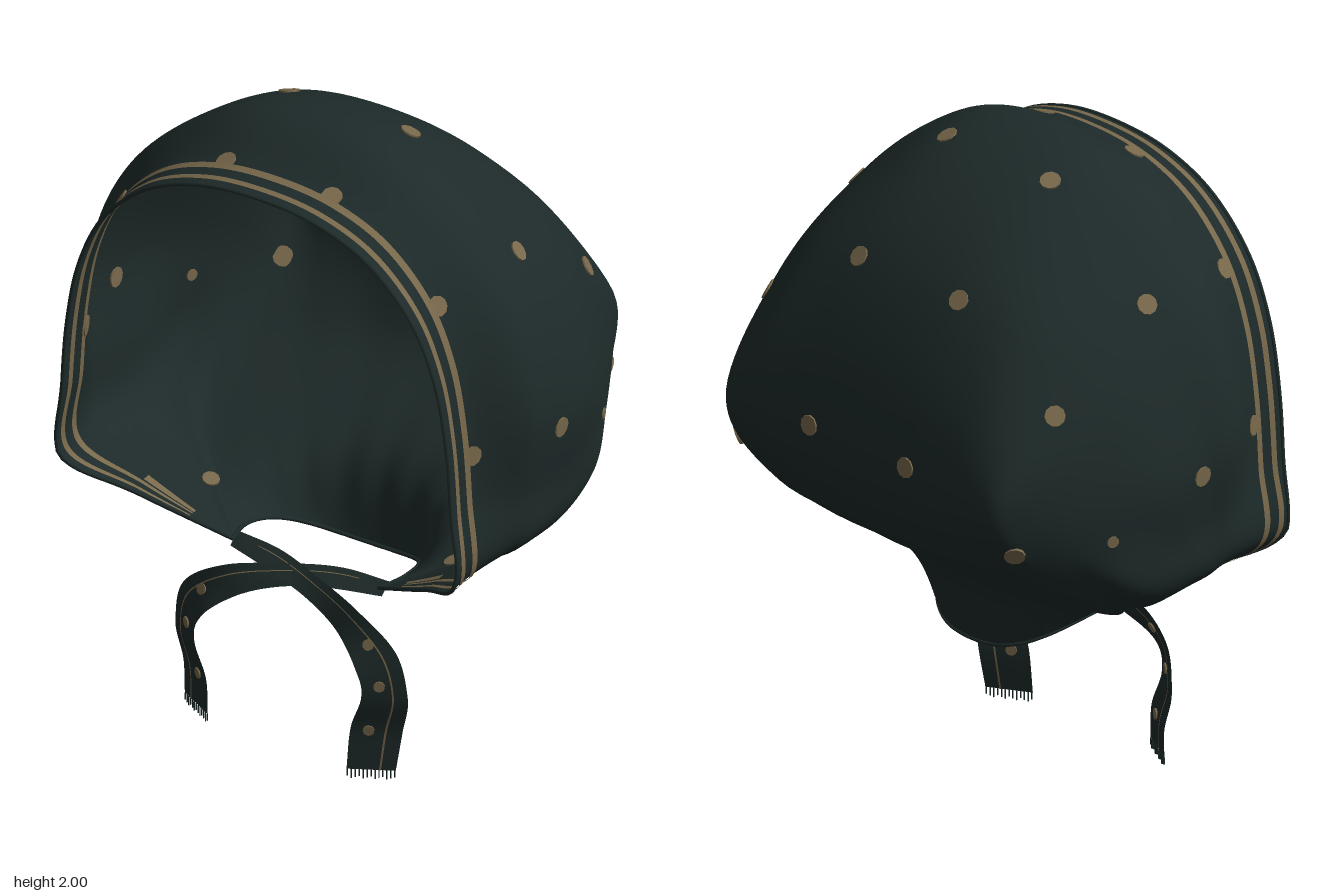
import * as THREE from 'three';

const V = (x, y, z) => new THREE.Vector3(x, y, z);
const cloth = new THREE.MeshStandardMaterial({ name: 'dark green cloth', color: 0x1d2a29, side: THREE.DoubleSide });
const gold = new THREE.MeshStandardMaterial({ name: 'dull gold print', color: 0x78684b, side: THREE.DoubleSide });

// Half outlines between crown and chin: x and the fraction of the way up
const FACE = [0.2, 0.985, 0.38, 0.93, 0.53, 0.82, 0.61, 0.69, 0.65, 0.54, 0.668, 0.37, 0.678, 0.2, 0.5, 0.105];
const CROWN = [0.23, 0.98, 0.425, 0.905, 0.6, 0.793, 0.71, 0.658, 0.765, 0.49, 0.735, 0.32, 0.708, 0.195, 0.5, 0.1];
const UPPER = [0.25, 0.985, 0.44, 0.94, 0.6, 0.83, 0.7, 0.69, 0.755, 0.55, 0.735, 0.37, 0.705, 0.23, 0.46, 0.1];
const BACK = [0.27, 1, 0.46, 1, 0.54, 0.985, 0.595, 0.86, 0.655, 0.7, 0.71, 0.52, 0.66, 0.33, 0.42, 0.12];
const LOWER = [0.2, 0.99, 0.38, 0.95, 0.5, 0.86, 0.57, 0.72, 0.6, 0.55, 0.56, 0.4, 0.46, 0.26, 0.34, 0.12];
const NAPE = [0.1, 0.98, 0.2, 0.9, 0.27, 0.78, 0.32, 0.62, 0.35, 0.46, 0.35, 0.32, 0.33, 0.2, 0.29, 0.1];
const NECK = [0.1, 0.97, 0.17, 0.88, 0.22, 0.74, 0.25, 0.58, 0.265, 0.42, 0.27, 0.28, 0.265, 0.16, 0.258, 0.07];

// Hood arcs from face edge to nape; upright keeps the face edge vertical, droop dips the neck edge
const CHIN = V(0.25, 0.56, 0.27);
const arcs = [
  arcCurve(0.525, 1.895, FACE, { upright: true }),
  arcCurve(0.42, 1.915, FACE, { upright: true }),
  arcCurve(0.22, 2.0, CROWN),
  arcCurve(-0.05, 1.93, CROWN),
  arcCurve(-0.34, 1.68, UPPER),
  arcCurve(-0.53, 1.2, BACK),
  arcCurve(-0.45, 0.945, LOWER),
  arcCurve(-0.15, 0.695, NAPE),
  arcCurve(-0.07, 0.46, NECK, { droop: 2.5 }),
];

function arcCurve(z, y, half, { upright = false, droop = 1 } = {}) {
  const at = (x, s) => V(x, CHIN.y + (y - CHIN.y) * s ** droop, CHIN.z + (z - CHIN.z) * (upright ? Math.min(1, s / 0.2) : s));
  const pts = [at(0, 1)];
  for (let i = 0; i < half.length; i += 2) pts.push(at(half[i], half[i + 1]));
  pts.push(CHIN.clone());
  const right = pts.slice(1).map((p) => V(-p.x, p.y, p.z));
  return new THREE.CatmullRomCurve3([...pts.reverse(), ...right]);
}

// Hood surface: u runs over the head from chin to chin, v from face edge to nape
const columns = new Map();
function hoodPoint(u, v) {
  if (!columns.has(u)) columns.set(u, new THREE.CatmullRomCurve3(arcs.map((a) => a.getPoint(u))));
  const p = columns.get(u).getPoint(v);
  const gather = THREE.MathUtils.smoothstep(v, 0.62, 0.85) * (1 - THREE.MathUtils.smoothstep(v, 0.9, 1));
  const k = 1 + 0.012 * gather * Math.cos(u * Math.PI * 28);
  p.y = CHIN.y + (p.y - CHIN.y) * k;
  p.z = Math.min(0.525, CHIN.z + (p.z - CHIN.z) * k);
  return p;
}

function normalAt(fn, u, v) {
  const e = 0.003;
  const du = fn(Math.min(1, u + e), v).sub(fn(Math.max(0, u - e), v));
  const dv = fn(u, Math.min(1, v + e)).sub(fn(u, Math.max(0, v - e)));
  return dv.cross(du).normalize();
}

// Grid over part of a surface, lifted off it along the normal
function patch(fn, [u0, u1], [v0, v1], nu, nv, lift = 0) {
  const pos = [], idx = [];
  for (let i = 0; i <= nu; i++) {
    for (let j = 0; j <= nv; j++) {
      const u = u0 + ((u1 - u0) * i) / nu, v = v0 + ((v1 - v0) * j) / nv;
      const p = fn(u, v);
      if (lift) p.addScaledVector(normalAt(fn, u, v), lift);
      pos.push(p.x, p.y, p.z);
      if (i < nu && j < nv) {
        const a = i * (nv + 1) + j, b = a + nv + 1;
        idx.push(a, a + 1, b, b, a + 1, b + 1);
      }
    }
  }
  const g = new THREE.BufferGeometry();
  g.setAttribute('position', new THREE.Float32BufferAttribute(pos, 3));
  g.setIndex(idx);
  g.computeVertexNormals();
  return g;
}

function add(parent, name, geometry, material) {
  const m = new THREE.Mesh(geometry, material);
  m.name = name;
  parent.add(m);
  return m;
}

// Printed dot showing on both faces of the cloth
function addDot(parent, name, point, normal, r) {
  const d = add(parent, name, new THREE.CylinderGeometry(r, r, 0.009, 10), gold);
  d.position.copy(point);
  d.quaternion.setFromUnitVectors(V(0, 1, 0), normal);
}

function makeHood() {
  const hood = new THREE.Group();
  hood.name = 'hood';
  add(hood, 'hoodCloth', patch(hoodPoint, [0, 1], [0, 1], 180, 96), cloth);

  // Rolled hems round the face and the neck
  for (const [name, v] of [['faceHem', 0], ['neckHem', 1]]) {
    const pts = Array.from({ length: 73 }, (_, i) => hoodPoint(i / 72, v));
    add(hood, name, new THREE.TubeGeometry(new THREE.CatmullRomCurve3(pts), 140, 0.006, 6), cloth);
  }

  // Printed on both faces: two border stripes and a long smear low on each cheek
  for (const lift of [0.004, -0.004]) {
    for (const range of [[0.032, 0.056], [0.098, 0.124]]) {
      add(hood, 'borderStripe', patch(hoodPoint, [0.025, 0.975], range, 180, 3, lift), gold);
    }
    for (const range of [[0.025, 0.058], [0.942, 0.975]]) {
      add(hood, 'cheekSmear', patch(hoodPoint, range, [0.135, 0.17], 12, 3, lift), gold);
    }
  }

  // Scattered dots, mirrored and snapped onto the cloth
  const dots = [
    [0.21, 1.95, 0.05], [0.6, 1.69, 0.05], [0.77, 1.19, 0.1], [0.21, 1.71, -0.33], [0.62, 1.47, -0.35],
    [0.2, 1.23, -0.53], [0.54, 1.06, -0.43], [0.7, 1.05, -0.2, 0.018], [0.42, 0.63, 0.14, 0.026],
    [0.19, 1.9, 0.405], [0.54, 1.66, 0.405], [0.66, 1.2, 0.405],
  ];
  for (const [x, y, z, r = 0.031] of dots) {
    const target = V(x, y, z);
    let best = { d: Infinity };
    for (let i = 1; i < 90; i++) {
      for (let j = 0; j <= 120; j++) {
        const p = hoodPoint(i / 180, j / 120), d = p.distanceToSquared(target);
        if (d < best.d) best = { d, p, u: i / 180, v: j / 120 };
      }
    }
    const n = normalAt(hoodPoint, best.u, best.v);
    for (const s of [1, -1]) addDot(hood, 'hoodDot', V(best.p.x * s, best.p.y, best.p.z), V(n.x * s, n.y, n.z), r);
  }
  return hood;
}

// Ribbon tie: starts at one side of the chin, crosses over and hangs on the other
function makeTie(name, s, endY, forward) {
  const tie = new THREE.Group();
  tie.name = name;
  const keys = [ // centre, then half width
    [-0.26, 0.55, 0.25, 0, 0.015, -0.02],
    [-0.1, 0.545, 0.27 + forward, 0, 0.02, -0.03],
    [0.05, 0.525, 0.31 + forward, 0.008, 0.026, -0.02],
    [0.2, 0.485, 0.365, 0.03, 0.036, -0.01],
    [0.315, 0.395, 0.385, 0.052, 0.024, -0.03],
    [0.343, 0.28, 0.38, 0.056, -0.006, -0.036],
    [0.312, 0.16, 0.375, 0.064, -0.006, -0.038],
    [0.3, endY, 0.385, 0.062, 0, -0.034],
  ];
  const centre = new THREE.CatmullRomCurve3(keys.map((k) => V(k[0] * s, k[1], k[2])));
  const half = new THREE.CatmullRomCurve3(keys.map((k) => V(k[3] * s, k[4], k[5])));
  const ribbon = (u, v) => centre.getPoint(u).addScaledVector(half.getPoint(u), 2 * v - 1);
  add(tie, 'ribbon', patch(ribbon, [0, 1], [0, 1], 60, 4), cloth);
  for (const lift of [0.003, -0.003]) {
    add(tie, 'ribbonStripe', patch(ribbon, [0.08, 1], [0.66, 0.7], 60, 1, lift), gold);
  }
  for (const [u, v] of [[0.52, 0.55], [0.67, 0.4], [0.86, 0.35]]) {
    addDot(tie, 'ribbonDot', ribbon(u, v), normalAt(ribbon, u, v), 0.017);
  }
  // Frayed end threads
  for (let i = 0; i < 13; i++) {
    const len = 0.022 + 0.008 * ((i * 5) % 3) / 2;
    const p = ribbon(1, 0.02 + (0.96 * i) / 12);
    add(tie, 'fringeThread', new THREE.BoxGeometry(0.003, len, 0.003), cloth).position.set(p.x, p.y - len / 2, p.z);
  }
  return tie;
}

export function createModel() {
  const model = new THREE.Group();
  model.name = 'headscarf';
  model.add(makeHood(), makeTie('leftTie', 1, 0.03, 0.012), makeTie('rightTie', -1, 0.055, 0));
  return model;
}
